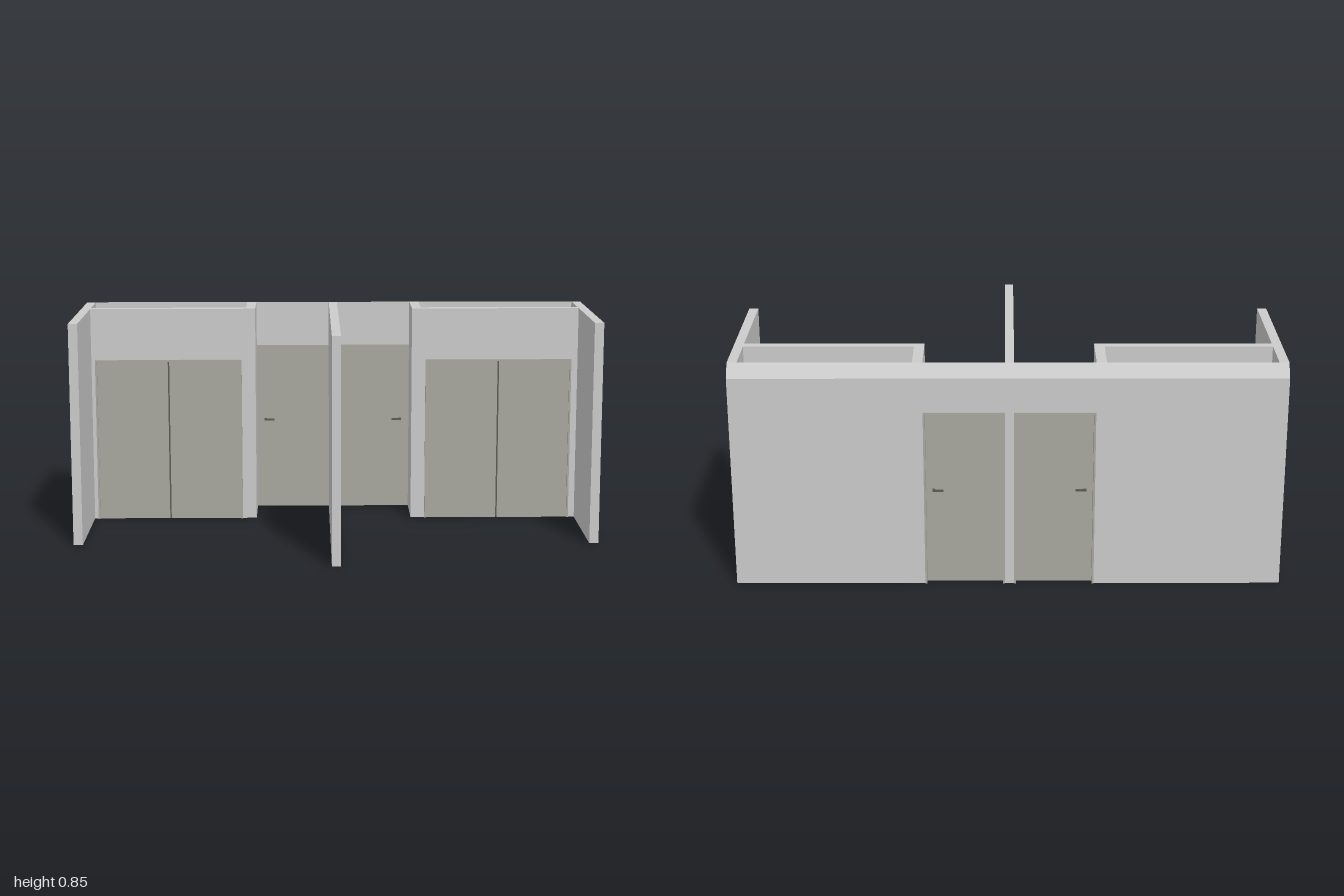
import * as THREE from 'three';

export function createModel() {
  const model = new THREE.Group();
  const mat = (name, color) => {
    const m = new THREE.MeshStandardMaterial({ color });
    m.name = name;
    return m;
  };
  const wall = mat('wall grey', 0xcbcbcb);
  const door = mat('door olive grey', 0xa8a8a0);
  const dark = mat('handle dark grey', 0x5c5c56);

  const H = 0.848;   // wall height
  const C = -0.005;  // axis the rooms mirror about

  const add = (name, geometry, material) => {
    const mesh = new THREE.Mesh(geometry, material);
    mesh.name = name;
    model.add(mesh);
    return mesh;
  };
  // Box given by its extents on each axis
  const box = (name, material, x0, x1, y0, y1, z0, z1) => {
    const g = new THREE.BoxGeometry(Math.abs(x1 - x0), y1 - y0, z1 - z0);
    g.translate((x0 + x1) / 2, (y0 + y1) / 2, (z0 + z1) / 2);
    return add(name, g, material);
  };
  // Upright panel with doorways [x0, x1, height] cut from its bottom edge
  const panel = (name, x0, x1, h, z0, z1, openings) => {
    const s = new THREE.Shape();
    s.moveTo(x0, 0);
    for (const [a, b, top] of openings) {
      s.lineTo(a, 0).lineTo(a, top).lineTo(b, top).lineTo(b, 0);
    }
    s.lineTo(x1, 0).lineTo(x1, h).lineTo(x0, h);
    const g = new THREE.ExtrudeGeometry(s, { depth: z1 - z0, bevelEnabled: false });
    g.translate(0, 0, z0);
    add(name, g, wall);
  };
  const span = (s, a, b) => [C + s * a, C + s * b].sort((p, q) => p - q);
  // Thin lining around a doorway
  const frame = (name, x0, x1, top, z0, z1) => {
    const t = 0.007;
    box(name + 'JambA', door, x0, x0 + t, 0, top, z0, z1);
    box(name + 'JambB', door, x1 - t, x1, 0, top, z0, z1);
    box(name + 'Head', door, x0 + t, x1 - t, top - t, top, z0, z1);
  };

  // Back wall with two doorways and a sloping top edge
  const entries = [-1, 1].map(s => [...span(s, 0.0165, 0.31), 0.672]);
  panel('backWall', -1, 1, 0.8, -0.5, -0.463, entries);
  const slope = new THREE.Shape();
  slope.moveTo(0.5, 0.8).lineTo(0.463, H).lineTo(0.463, 0.8);
  const wedge = new THREE.ExtrudeGeometry(slope, { depth: 2, bevelEnabled: false });
  wedge.rotateY(Math.PI / 2).translate(-1, 0, 0);
  add('backWallSlope', wedge, wall);

  // Long dividing wall
  box('centreWall', wall, -0.022, 0.011, 0, H, -0.463, 0.505);

  for (const s of [-1, 1]) {
    const side = s < 0 ? 'right' : 'left';

    // Outer side wall
    box(side + 'SideWall', wall, s * 0.965, s, 0, H, -0.463, 0.18);

    // Closet walls and floor
    const [cx0, cx1] = span(s, 0.365, 0.945);
    panel(side + 'ClosetFront', ...span(s, 0.31, 0.97), H, -0.285, -0.25, [[cx0, cx1, 0.645]]);
    box(side + 'ClosetSide', wall, ...span(s, 0.31, 0.347), 0, H, -0.463, -0.285);
    box(side + 'ClosetFloor', wall, cx0, cx1, 0, 0.01, -0.463, -0.285);

    // Closet double doors
    frame(side + 'ClosetFrame', cx0, cx1, 0.645, -0.285, -0.241);
    const mid = (cx0 + cx1) / 2;
    box(side + 'ClosetDoorA', door, cx0 + 0.007, mid - 0.003, 0, 0.638, -0.265, -0.249);
    box(side + 'ClosetDoorB', door, mid + 0.003, cx1 - 0.007, 0, 0.638, -0.265, -0.249);
    box(side + 'ClosetDoorGap', dark, mid - 0.003, mid + 0.003, 0, 0.638, -0.263, -0.252);

    // Entry door in the back wall
    const [ex0, ex1] = span(s, 0.0165, 0.31);
    frame(side + 'EntryFrame', ex0, ex1, 0.672, -0.505, -0.463);
    box(side + 'EntryDoor', door, ex0 + 0.007, ex1 - 0.007, 0, 0.665, -0.479, -0.461);

    // Lever handles on both faces
    for (const [z, dir] of [[-0.461, 1], [-0.479, -1]]) {
      const za = z + dir * 0.006, zb = z + dir * 0.011;
      box(side + 'HandleLever', dark, ...span(s, 0.24, 0.28), 0.361, 0.369,
        Math.min(za, zb), Math.max(za, zb));
      box(side + 'HandleStem', dark, ...span(s, 0.27, 0.28), 0.36, 0.37,
        Math.min(z, za), Math.max(z, za));
    }
  }
  return model;
}
